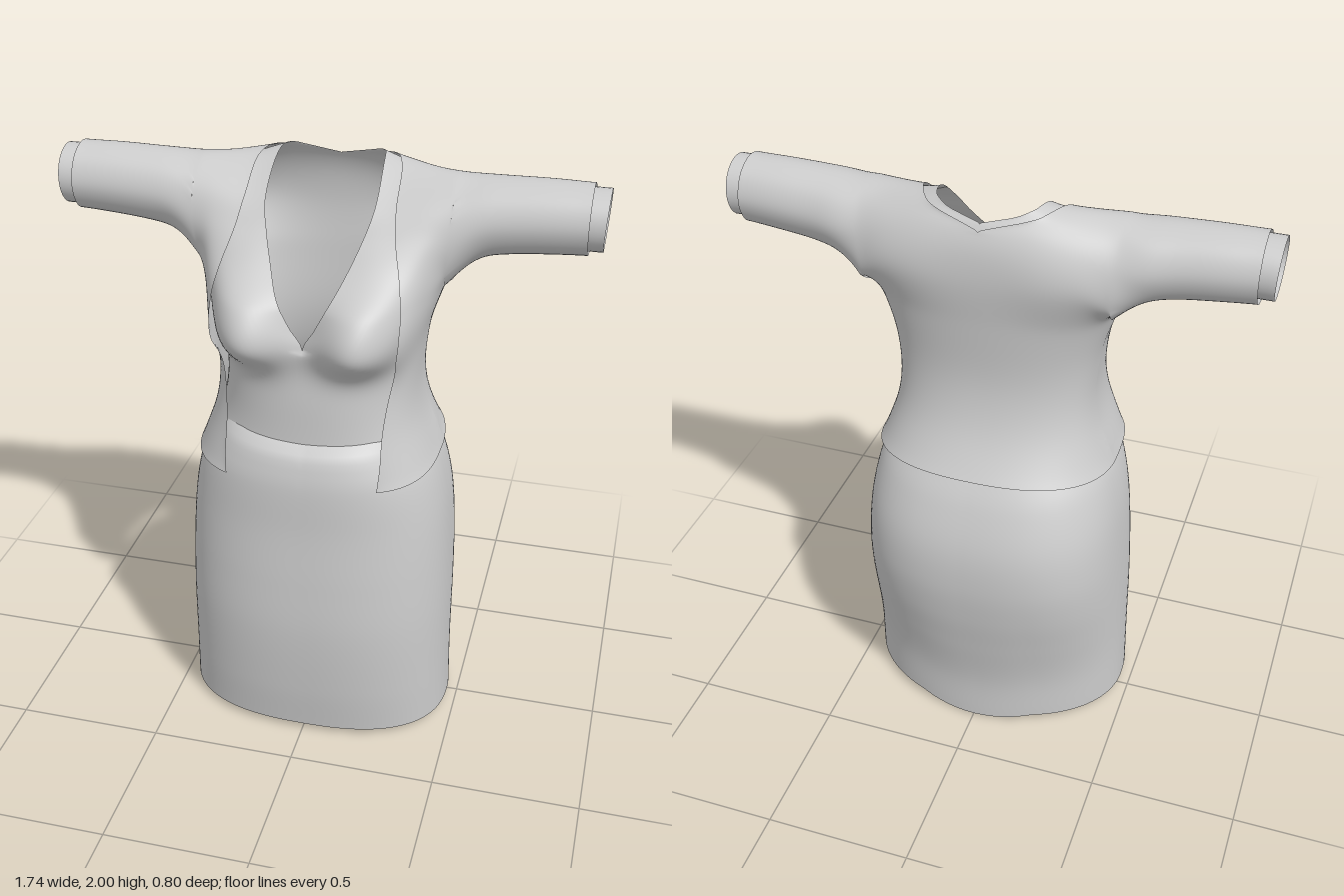
import * as THREE from 'three';
import { mergeVertices } from 'three/addons/utils/BufferGeometryUtils.js';

// Smooth curve through sorted [t, value] pairs, clamped at both ends
function spl(p, t) {
  const n = p.length - 1;
  t = Math.min(Math.max(t, p[0][0]), p[n][0]);
  let i = 0;
  while (i < n - 1 && t > p[i + 1][0]) i++;
  const slope = (j) => {
    const a = p[Math.max(j - 1, 0)], b = p[Math.min(j + 1, n)];
    return (b[1] - a[1]) / (b[0] - a[0]);
  };
  const h = p[i + 1][0] - p[i][0], s = (t - p[i][0]) / h, s2 = s * s, s3 = s2 * s;
  return (2 * s3 - 3 * s2 + 1) * p[i][1] + (s3 - 2 * s2 + s) * h * slope(i)
    + (3 * s2 - 2 * s3) * p[i + 1][1] + (s3 - s2) * h * slope(i + 1);
}
const mix = (a, b, t) => a + (b - a) * t;
const round = (r, n) => Math.pow(Math.max(0, 1 - Math.pow(r, n)), 1 / n);

// Relax a welded surface, holding its open edges in place
function relax(g, passes) {
  const p = g.attributes.position, ix = g.index.array;
  const near = Array.from({ length: p.count }, () => new Map());
  for (let t = 0; t < ix.length; t += 3) {
    const tri = [ix[t], ix[t + 1], ix[t + 2]];
    if (new Set(tri).size < 3) continue;
    tri.forEach((a, k) => {
      const b = tri[(k + 1) % 3];
      near[a].set(b, (near[a].get(b) || 0) + 1);
      near[b].set(a, (near[b].get(a) || 0) + 1);
    });
  }
  const free = near.map((m) => m.size > 0 && [...m.values()].every((n) => n > 1));
  const links = near.map((m) => [...m.keys()]);
  for (let n = 0; n < passes; n++) {
    const old = p.array.slice();
    links.forEach((list, i) => {
      if (!free[i]) return;
      for (let k = 0; k < 3; k++) {
        let sum = 0;
        for (const j of list) sum += old[j * 3 + k];
        p.array[i * 3 + k] = mix(old[i * 3 + k], sum / list.length, 0.6);
      }
    });
  }
}

// Patches f(u, v) -> [x, y, z], mirrored in x and welded into one smooth surface
function shell(patches, passes) {
  const pos = [], idx = [];
  for (const side of [1, -1]) {
    for (const [f, nu, nv] of patches) {
      const base = pos.length / 3;
      for (let j = 0; j <= nv; j++) {
        for (let i = 0; i <= nu; i++) {
          const [x, y, z] = f(i / nu, j / nv);
          pos.push(side * x, y, z);
          if (i === nu || j === nv) continue;
          const a = base + j * (nu + 1) + i, b = a + 1, c = a + nu + 1, d = c + 1;
          if (side > 0) idx.push(a, b, d, a, d, c);
          else idx.push(a, d, b, a, c, d);
        }
      }
    }
  }
  let g = new THREE.BufferGeometry();
  g.setAttribute('position', new THREE.Float32BufferAttribute(pos, 3));
  g.setIndex(idx);
  g = mergeVertices(g, 1e-4);
  relax(g, passes);
  g.computeVertexNormals();
  return g;
}

// Torso below the armpit: half width, front depth, back depth by height
const ARM_X = 0.385, ARM_Y = 1.62, MID_Z = -0.02;
const torsoW = [[1.03, 0.41], [1.1, 0.385], [1.2, 0.347], [1.3, 0.33], [1.4, 0.333], [1.5, 0.347], [1.62, 0.385]];
const torsoF = [[1.03, 0.32], [1.2, 0.313], [1.3, 0.31], [1.4, 0.303], [1.49, 0.303], [1.62, 0.275]];
const torsoB = [[1.03, -0.37], [1.1, -0.335], [1.2, -0.275], [1.3, -0.24], [1.42, -0.224], [1.62, -0.237]];
const flare = [[1.03, 0.042], [1.1, 0.037], [1.2, 0.028], [1.45, 0]];
const boxy = [[1.03, 3.2], [1.35, 3.1], [1.5, 2.7], [1.62, 2.4]];

function ring(c, y, front, flared) {
  const r = Math.min(c / ARM_X, 1), x = r * spl(torsoW, y);
  if (!front) return [x, y, MID_Z + (spl(torsoB, y) - MID_Z) * round(r, 2.4)];
  const k = round(r, flared ? spl(boxy, y) : 2.4);
  const dx = (x - 0.195) / (x > 0.195 ? 0.15 : 0.125), dy = (y - 1.53) / (y > 1.53 ? 0.17 : 0.105);
  const bust = 0.158 * Math.exp(-Math.pow(Math.hypot(dx, dy), 2.6)) * Math.min(1, k * 1.6);
  const zf = spl(torsoF, y) + (flared ? spl(flare, y) : 0);
  return [x, y, MID_Z + (zf - MID_Z) * k + bust];
}

// Sections across the shoulder: nine [z, y] points from front, over the top, to back
const sections = [
  [0, [0.28, 1.62, 0.215, 1.70, 0.14, 1.80, 0.06, 1.89, -0.07, 1.968, -0.185, 1.972, -0.235, 1.905, -0.25, 1.78, -0.235, 1.62]],
  [0.13, [0.33, 1.62, 0.24, 1.71, 0.153, 1.80, 0.073, 1.89, -0.055, 1.985, -0.16, 1.997, -0.23, 1.91, -0.252, 1.78, -0.23, 1.62]],
  [0.2, [0.345, 1.62, 0.25, 1.71, 0.16, 1.80, 0.08, 1.89, -0.05, 1.982, -0.15, 1.985, -0.225, 1.905, -0.252, 1.78, -0.22, 1.62]],
  [0.32, [0.19, 1.62, 0.18, 1.72, 0.13, 1.82, 0.07, 1.91, -0.04, 1.977, -0.13, 1.96, -0.20, 1.89, -0.225, 1.77, -0.17, 1.62]],
  [ARM_X, [MID_Z, 1.62, 0.09, 1.69, 0.11, 1.80, 0.07, 1.91, -0.03, 1.975, -0.13, 1.95, -0.195, 1.85, -0.19, 1.71, MID_Z, 1.62]],
];
// Sleeve loops: x, centre z, centre y, radius z, radius y
for (const [x, cz, cy, rz, ry] of [
  [0.45, -0.05, 1.842, 0.142, 0.134], [0.55, -0.045, 1.857, 0.128, 0.122],
  [0.7, -0.042, 1.867, 0.12, 0.116], [0.82, -0.038, 1.871, 0.113, 0.111]]) {
  const loop = [];
  for (let k = 0; k < 9; k++) {
    const a = k * Math.PI / 4;
    loop.push(cz + rz * Math.sin(a), cy - ry * Math.cos(a));
  }
  sections.push([x, loop]);
}
const tracks = Array.from({ length: 18 }, (_, i) => sections.map(([x, p]) => [x, p[i]]));

function upper(c, s) {
  const pz = [], py = [];
  for (let k = 0; k < 9; k++) {
    pz.push([k, spl(tracks[2 * k], c)]);
    py.push([k, spl(tracks[2 * k + 1], c)]);
  }
  let before = [0, py[7][1], pz[7][1]], after = [0, py[1][1], pz[1][1]];
  if (c <= ARM_X) {
    for (const k of [0, 8]) [, py[k][1], pz[k][1]] = ring(c, ARM_Y, k === 0);
    before = ring(c, 1.53, true);
    after = ring(c, 1.53, false);
  }
  py.unshift([-1, before[1]]); pz.unshift([-1, before[2]]);
  py.push([9, after[1]]); pz.push([9, after[2]]);
  // The sides keep leaning outward above the armpit, fading along the sleeve
  const y = spl(py, s), t = Math.max(0, y - ARM_Y);
  const lean = c <= ARM_X ? (c / ARM_X) ** 2 : 1 - THREE.MathUtils.smoothstep(c, ARM_X, 0.7);
  return [c + 0.35 * lean * t / (1 + t / 0.1), y, spl(pz, s)];
}

// Torso patches between an inner edge (front opening and neckline) and the armhole
function torsoPatches(o) {
  const col = (edge, u) => mix(Math.max(0, edge), ARM_X, Math.sin(u * Math.PI / 2));
  return [
    [(u, v) => {
      const probe = mix(o.hem(0, true), ARM_Y, v), c = col(spl(o.edgeLow, probe), u);
      return o.fit(ring(c, mix(o.hem(c / ARM_X, true), ARM_Y, v), true, o.flared), c);
    }, 28, 40],
    [(u, v) => {
      const c = col(spl(o.edgeTop, v * 8), u);
      return o.fit(upper(c, v * 8), c);
    }, 28, 128],
    [(u, v) => {
      const c = col(0, u);
      return o.fit(ring(c, mix(ARM_Y, o.hem(c / ARM_X, false), v), false), c);
    }, 28, 32],
  ];
}

export function createModel() {
  const group = new THREE.Group();
  const cloth = new THREE.MeshStandardMaterial({ color: 0xcccccc, side: THREE.DoubleSide });
  cloth.name = 'light grey cloth';
  const add = (name, patches, passes) => {
    const m = new THREE.Mesh(shell(patches, passes), cloth);
    m.name = name;
    group.add(m);
  };

  // Open jacket with sleeves
  add('jacket', [
    ...torsoPatches({
      flared: true,
      hem: (r, front) => (front ? 1.03 + 0.015 * r ** 4 : 1.045 + 0.05 * round(r, 2.4)),
      edgeLow: [[1.03, 0.235], [1.2, 0.283], [1.35, 0.315], [1.5, 0.328], [1.62, 0.3]],
      edgeTop: [[0, 0.3], [1, 0.272], [2, 0.245], [3, 0.23], [4, 0.22], [5, 0.18], [5.35, 0.13], [5.6, 0], [8, 0]],
      fit: (p) => p,
    }),
    [(u, v) => upper(mix(ARM_X + 1e-6, 0.82, u), v * 8), 28, 128],
  ], 16);

  // Fitted top with a deep V neckline, lying just inside the jacket
  add('innerTop', torsoPatches({
    flared: false,
    hem: () => 1.13,
    edgeLow: [[1.1, 0], [1.49, 0], [1.56, 0.04], [1.62, 0.07]],
    edgeTop: [[0, 0.07], [1, 0.115], [2, 0.15], [3, 0.173], [4, 0.17], [4.8, 0.157], [5.1, 0.132], [5.25, 0.09], [5.32, 0], [8, 0]],
    fit: ([x, y, z], c) => [x * 0.975,
      y - 0.012 * THREE.MathUtils.smoothstep(c, 0.17, 0.24) * THREE.MathUtils.smoothstep(y, 1.7, 1.9),
      MID_Z + (z - MID_Z) * 0.97],
  }), 12);

  // Cuffs peeking out of the sleeves
  add('cuffs', [[(u, v) => {
    const a = v * Math.PI * 2;
    return [mix(0.78, 0.868 - 0.004 * Math.cos(a), u), 1.873 - 0.097 * Math.cos(a), -0.035 + 0.1 * Math.sin(a)];
  }, 4, 40]], 0);

  // Skirt with a rounded waist, full hips and a narrower hem dipping at the back
  const skirtW = [[0.02, 0.468], [0.2, 0.463], [0.5, 0.457], [0.75, 0.445], [0.9, 0.428], [1.03, 0.396], [1.1, 0.358], [1.17, 0.315]];
  const skirtF = [[0.02, 0.348], [0.2, 0.372], [0.45, 0.39], [0.65, 0.385], [0.85, 0.373], [1.03, 0.368], [1.1, 0.355], [1.145, 0.338], [1.17, 0.305]];
  const skirtB = [[0.02, -0.322], [0.2, -0.328], [0.4, -0.365], [0.55, -0.393], [0.7, -0.407], [0.85, -0.395], [1, -0.345], [1.09, -0.295], [1.17, -0.24]];
  const skirtN = [[0.02, 2], [0.3, 2.2], [0.7, 2.7], [1.17, 2.5]];
  add('skirt', [[(u, v) => {
    const a = u * Math.PI, front = u <= 0.5;
    const x = Math.pow(Math.max(0, Math.min(1, Math.sin(a))), 0.9);
    const dip = front ? 0 : 0.025 * Math.max(0, 1 - (x / 0.45) ** 2);
    const top = front ? 1.17 - 0.012 * (1 - x) : 1.16;
    const y = mix(0.025 - dip, top, v);
    const t = mix(0.02, 1.17, v);
    const depth = spl(front ? skirtF : skirtB, t);
    return [x * spl(skirtW, t), y, 0.02 + (depth - 0.02) * round(x, front ? 2.5 : spl(skirtN, t))];
  }, 64, 48]], 0);

  return group;
}
